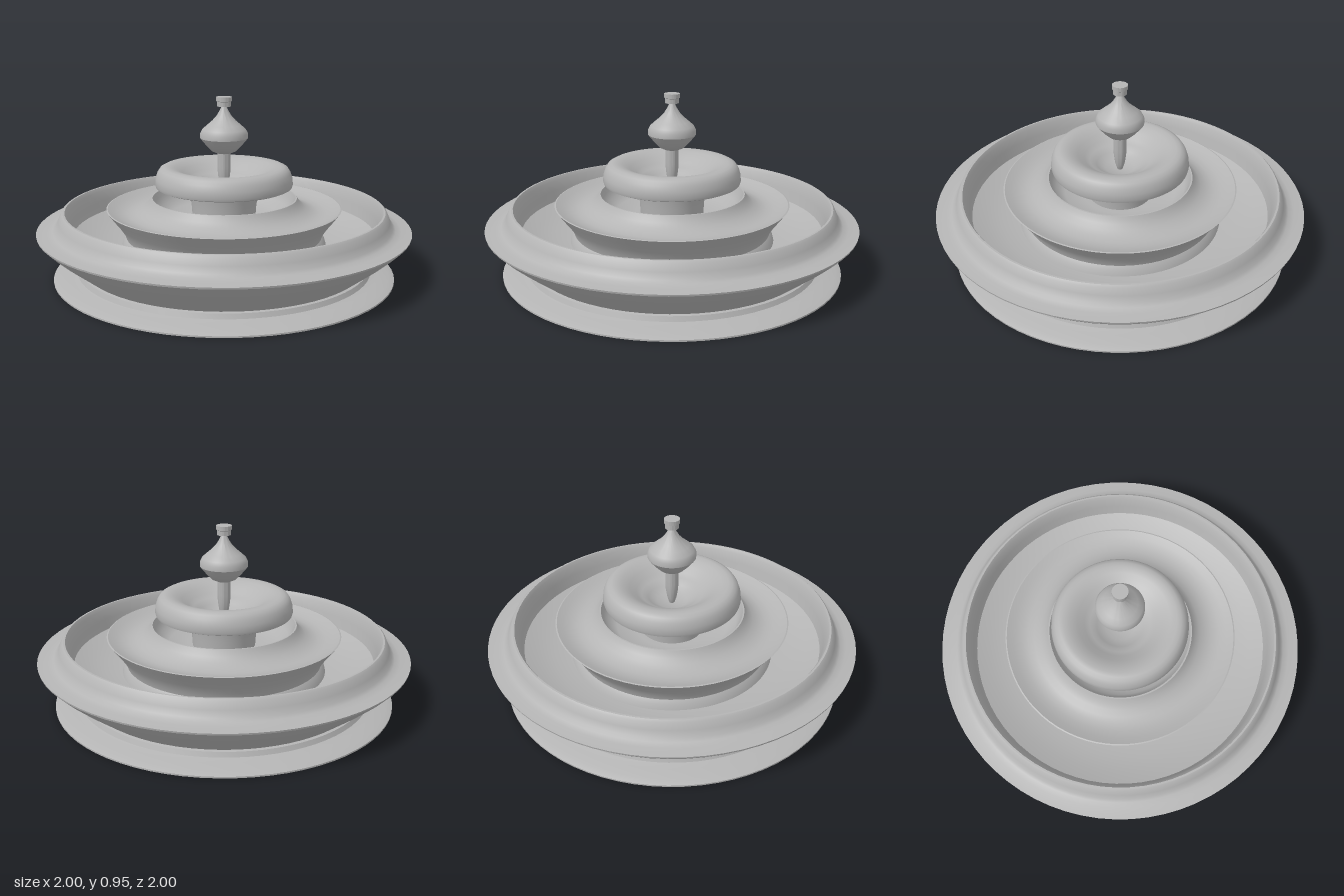
import * as THREE from 'three';
import { toCreasedNormals } from 'three/addons/utils/BufferGeometryUtils.js';

export function createModel() {
  const group = new THREE.Group();
  const stone = new THREE.MeshStandardMaterial({ color: 0xb4b4b4 });
  stone.name = 'grey stone';

  // Turns a profile of [radius, height] pairs, running up the outside then back in.
  const turn = (name, profile) => {
    const points = profile.map(([r, y]) => new THREE.Vector2(r, y));
    const mesh = new THREE.Mesh(toCreasedNormals(new THREE.LatheGeometry(points, 72), 0.55), stone);
    mesh.name = name;
    group.add(mesh);
  };

  // Lower basin: flared foot, sloping outside, wide lip, raised rim and shallow floor
  turn('lowerBasin', [
    [0, 0], [0.92, 0], [0.92, 0.008], [0.89, 0.02], [0.83, 0.027], [0.795, 0.036], [0.785, 0.06],
    [0.77, 0.063], [0.83, 0.11], [0.9, 0.165], [0.96, 0.217], [0.998, 0.255], [1, 0.264],
    [0.945, 0.268], [0.915, 0.275], [0.9, 0.288], [0.885, 0.32], [0.87, 0.355], [0.86, 0.365], [0.85, 0.365],
    [0.838, 0.345], [0.825, 0.29], [0.81, 0.23], [0.74, 0.2], [0.65, 0.175], [0.55, 0.16], [0, 0.15],
  ]);

  // Middle dish: foot, overhanging rim, moat and raised inner collar
  turn('middleDish', [
    [0.555, 0.155], [0.545, 0.19], [0.53, 0.21], [0.54, 0.24], [0.57, 0.285], [0.605, 0.33], [0.632, 0.366],
    [0.625, 0.368], [0.59, 0.352], [0.55, 0.34], [0.51, 0.337], [0.475, 0.345], [0.44, 0.361],
    [0.415, 0.382], [0.4, 0.403], [0.393, 0.415], [0.385, 0.415], [0.372, 0.385], [0.35, 0.345],
    [0.3, 0.315], [0.2, 0.3], [0, 0.3],
  ]);

  // Pedestal under the top bowl
  turn('pedestal', [[0.17, 0.295], [0.175, 0.37], [0.182, 0.42], [0.193, 0.48]]);

  // Top bowl: rounded ring with a hollow centre
  turn('topBowl', [
    [0, 0.44], [0.185, 0.47], [0.352, 0.472], [0.366, 0.478], [0.37, 0.492], [0.367, 0.523],
    [0.357, 0.553], [0.343, 0.574], [0.323, 0.584], [0.3, 0.586], [0.265, 0.578], [0.225, 0.556],
    [0.19, 0.53], [0.162, 0.512], [0.142, 0.505], [0.125, 0.49], [0.08, 0.465], [0, 0.455],
  ]);

  // Stem with a tapered foot
  turn('stem', [[0, 0.44], [0.014, 0.455], [0.025, 0.49], [0.033, 0.54], [0.035, 0.58], [0.035, 0.665]]);

  // Onion-shaped bulb
  turn('finialBulb', [
    [0, 0.655], [0.038, 0.655], [0.065, 0.667], [0.093, 0.695], [0.122, 0.73], [0.127, 0.737], [0.127, 0.762],
    [0.116, 0.783], [0.09, 0.806], [0.062, 0.83], [0.04, 0.855], [0.025, 0.88], [0.012, 0.908],
  ]);

  // Cap on the tip
  turn('finialCap', [[0, 0.905], [0.036, 0.905], [0.036, 0.93], [0.041, 0.933], [0.041, 0.955], [0, 0.955]]);

  return group;
}
